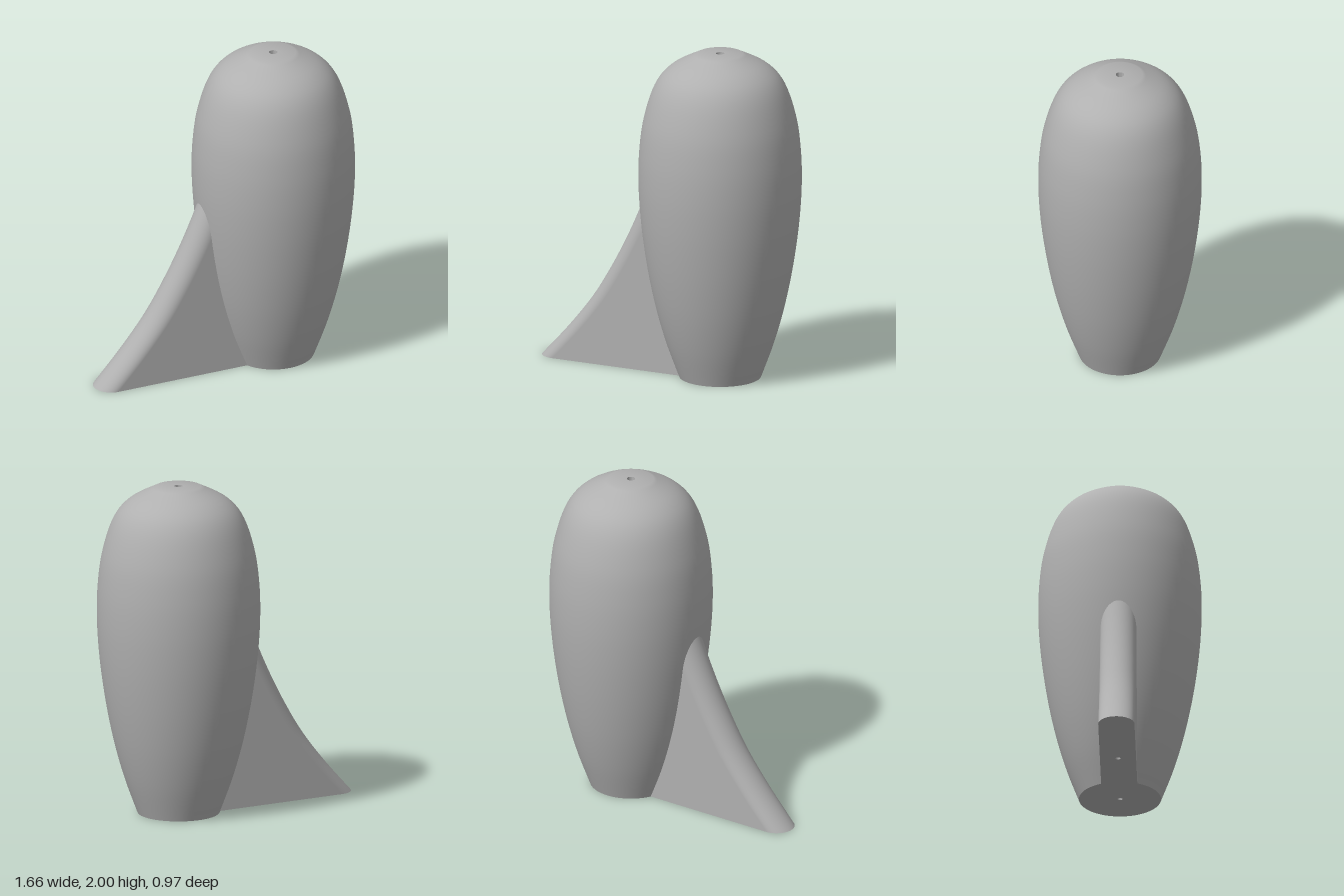
import * as THREE from 'three';
import { toCreasedNormals } from 'three/addons/utils/BufferGeometryUtils.js';

const V2 = (x, y) => new THREE.Vector2(x, y);
const CENTRE = 0.34; // x of the body's axis
const HALF = 0.108; // half thickness of the fin

// Closed revolved body with a small blind bore at each end
function bodyGeometry() {
  const side = new THREE.SplineCurve([
    V2(0.245, 0), V2(0.318, 0.2), V2(0.376, 0.4), V2(0.42, 0.6), V2(0.453, 0.8), V2(0.476, 1),
    V2(0.487, 1.2), V2(0.482, 1.4), V2(0.455, 1.6), V2(0.39, 1.8), V2(0.295, 1.915), V2(0.135, 2),
  ]).getPoints(60);
  const profile = [
    V2(0, 0.1), V2(0.015, 0.1), V2(0.015, 0),
    ...side,
    V2(0.025, 2), V2(0.025, 1.95), V2(0, 1.95),
  ];
  return toCreasedNormals(new THREE.LatheGeometry(profile, 72), 0.5);
}

// Horizontal outline of the fin: round nose at outerX, running inward to the body
function finOutline(outerX) {
  const points = [V2(0.13, HALF)];
  for (let i = 0; i <= 24; i++) {
    const a = Math.PI / 2 + (i / 24) * Math.PI;
    points.push(V2(outerX + HALF + Math.cos(a) * HALF, Math.sin(a) * HALF));
  }
  points.push(V2(0.13, -HALF));
  return points;
}

// Outer shell of the fin, lofted upward along its curved leading edge
function finGeometry() {
  const edge = new THREE.SplineCurve([
    V2(-0.83, 0), V2(-0.65, 0.2), V2(-0.493, 0.4), V2(-0.37, 0.6),
    V2(-0.265, 0.8), V2(-0.175, 1), V2(-0.098, 1.2), V2(-0.04, 1.37),
  ]).getPoints(42);
  const positions = [];
  const index = [];
  const count = finOutline(0).length;
  edge.forEach((p, row) => {
    for (const q of finOutline(p.x)) positions.push(q.x, p.y, q.y);
    if (row === 0) return;
    for (let i = 0; i < count - 1; i++) {
      const a = (row - 1) * count + i;
      const b = a + count;
      index.push(a, a + 1, b, a + 1, b + 1, b);
    }
  });
  // Orient the faces outward
  for (let i = 0; i < index.length; i += 3) {
    const [a, b, c] = [0, 1, 2].map((k) => new THREE.Vector3().fromArray(positions, index[i + k] * 3));
    const n = b.clone().sub(a).cross(c.clone().sub(a));
    const out = Math.abs(a.z + b.z + c.z) > 2.9 * HALF ? n.z * a.z : -n.x;
    if (out < 0) [index[i + 1], index[i + 2]] = [index[i + 2], index[i + 1]];
  }
  const geometry = new THREE.BufferGeometry();
  geometry.setAttribute('position', new THREE.Float32BufferAttribute(positions, 3));
  geometry.setIndex(index);
  geometry.computeVertexNormals();
  return geometry;
}

export function createModel() {
  const model = new THREE.Group();
  const grey = new THREE.MeshStandardMaterial({ color: 0xb0b0b0 });
  grey.name = 'plain grey';

  const add = (name, geometry, x = 0) => {
    const mesh = new THREE.Mesh(geometry, grey);
    mesh.name = name;
    mesh.position.x = x;
    model.add(mesh);
    return mesh;
  };

  add('body', bodyGeometry(), CENTRE);
  add('fin', finGeometry());

  // Flat underside of the fin with a small bore
  const boreX = -0.235;
  const boreRadius = 0.015;
  const shape = new THREE.Shape(finOutline(-0.83));
  shape.holes.push(new THREE.Path().absarc(boreX, 0, boreRadius, 0, Math.PI * 2, true));
  add('finBase', new THREE.ShapeGeometry(shape, 12).rotateX(Math.PI / 2));
  add('finBore', toCreasedNormals(new THREE.LatheGeometry(
    [V2(0, 0.1), V2(boreRadius, 0.1), V2(boreRadius, 0)], 24), 0.5), boreX);

  return model;
}
